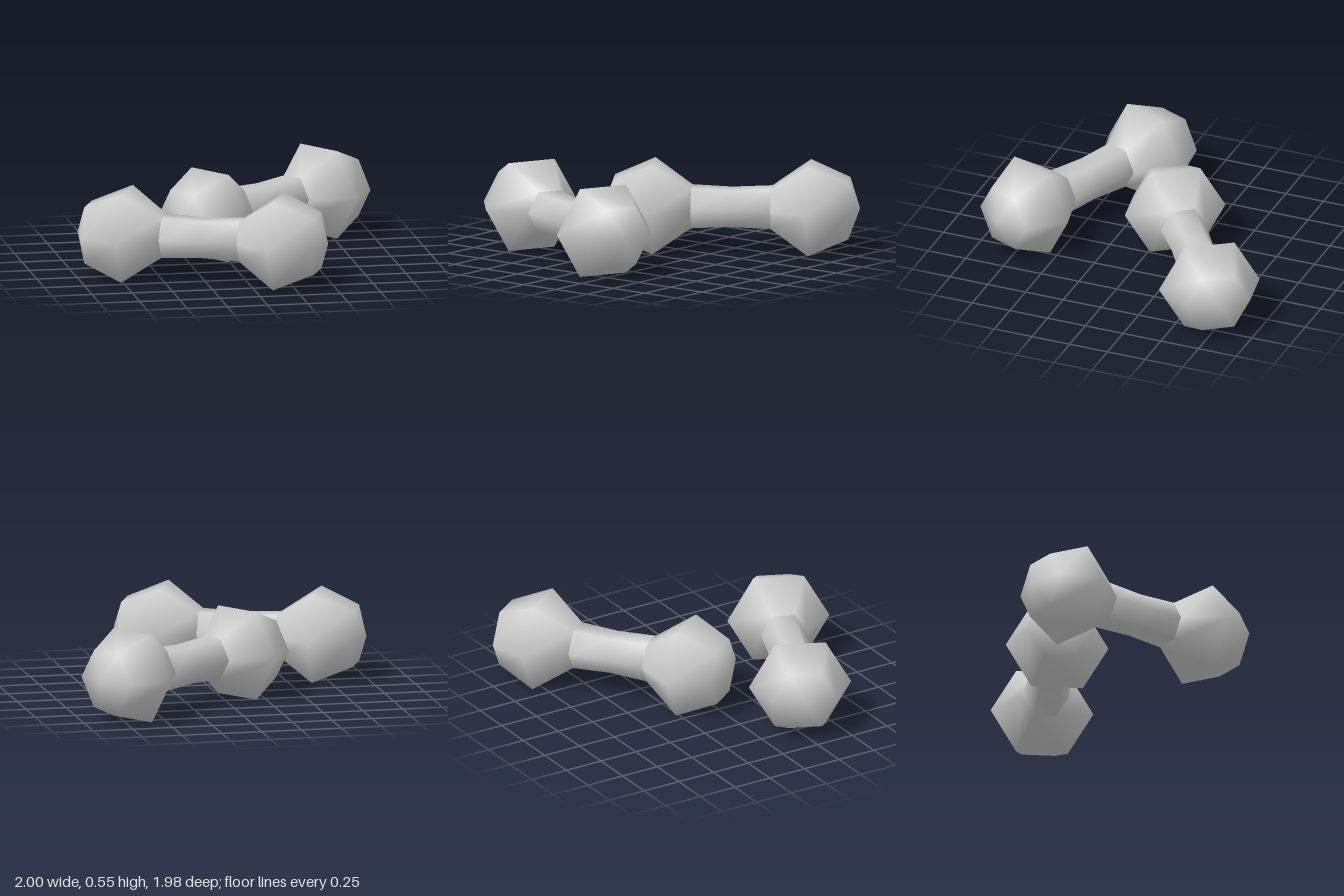
import * as THREE from 'three';
import { mergeVertices } from 'three/addons/utils/BufferGeometryUtils.js';

const SIDES = 6;
const material = new THREE.MeshStandardMaterial({ color: 0xcccccc, side: THREE.DoubleSide });

// Six-sided smooth lathe along x, from [radius, position] pairs
function turned(profile) {
  const lathe = new THREE.LatheGeometry(profile.map(([r, s]) => new THREE.Vector2(r, s)), SIDES);
  lathe.deleteAttribute('normal');
  lathe.deleteAttribute('uv');
  const geometry = mergeVertices(lathe, 1e-4);
  geometry.rotateZ(-Math.PI / 2);
  geometry.computeVertexNormals();
  return geometry;
}

function part(name, geometry) {
  const mesh = new THREE.Mesh(geometry, material);
  mesh.name = name;
  return mesh;
}

export function createModel() {
  const model = new THREE.Group();
  model.name = 'dumbbellPair';

  // Slightly waisted grip, and a bulb that closes at its outer tip
  const gripGeometry = turned([[0.143, -0.245], [0.131, 0], [0.143, 0.245]]);
  const headGeometry = turned([[0.143, 0.245], [0.316, 0.477], [0.203, 0.722], [0, 0.788]]);

  function dumbbell(name, x, z, angle) {
    const group = new THREE.Group();
    group.name = name;
    group.add(part('handle', gripGeometry));
    const leftHead = part('leftHead', headGeometry);
    const rightHead = part('rightHead', headGeometry);
    rightHead.rotation.y = Math.PI;
    group.add(leftHead, rightHead);
    group.position.set(x, 0.274, z);
    group.rotation.y = angle;
    model.add(group);
  }

  dumbbell('backDumbbell', 0.29, -0.414, 0.614);
  dumbbell('frontDumbbell', -0.264, 0.502, -0.416);
  return model;
}
